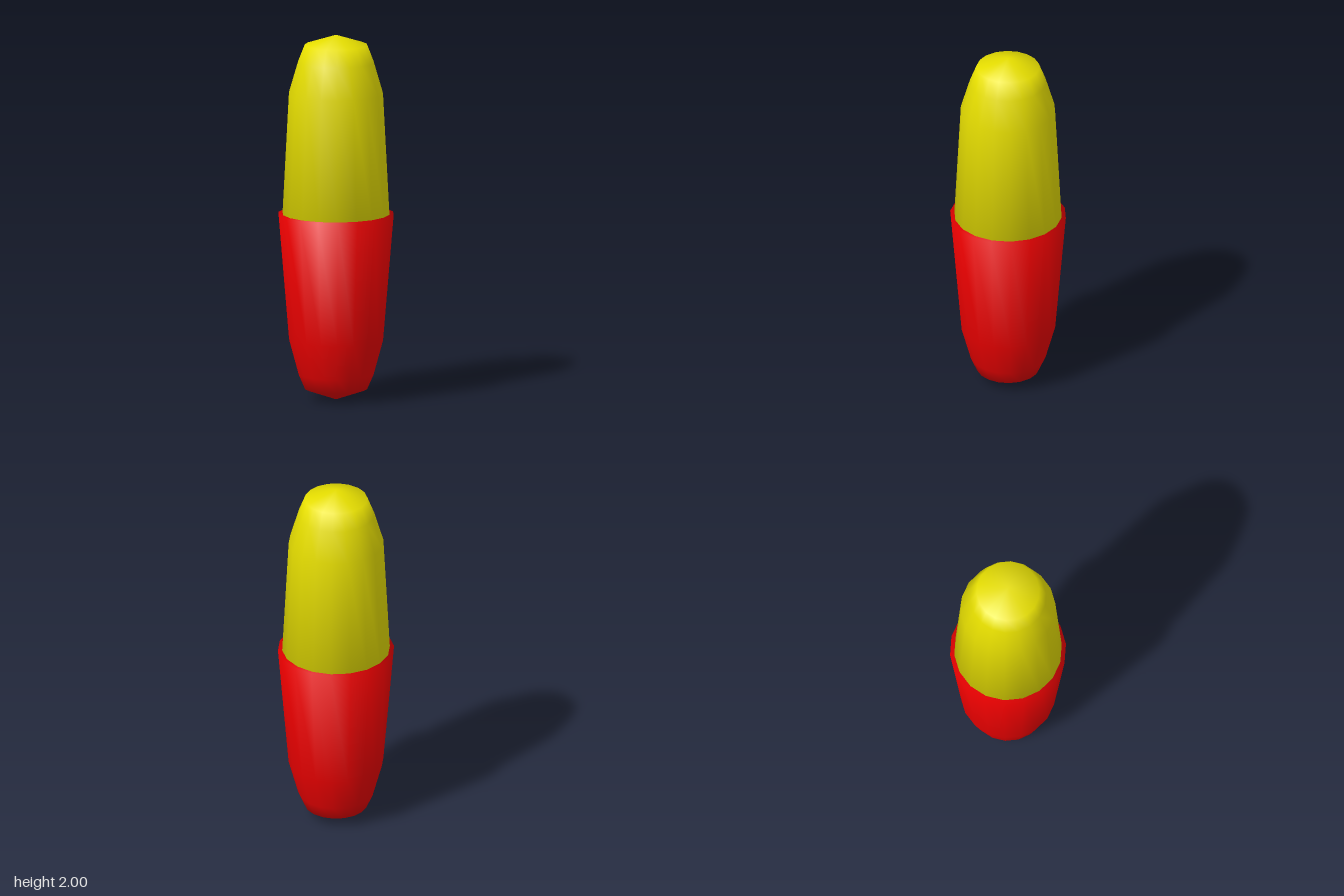
import * as THREE from 'three';

const SIDES = 18;

// Smooth 18-sided closed solid turned from [radius, height] points, bottom to top
function turned(name, color, points) {
  const profile = points.map(([r, y]) => new THREE.Vector2(r, y));
  const geometry = new THREE.LatheGeometry(profile, SIDES);

  // Round off the shading at both poles
  const { position, normal } = geometry.attributes;
  for (let i = 0; i < position.count; i++) {
    if (Math.hypot(position.getX(i), position.getZ(i)) < 1e-4) {
      normal.setXYZ(i, 0, Math.sign(normal.getY(i)), 0);
    }
  }

  const mesh = new THREE.Mesh(geometry, new THREE.MeshStandardMaterial({ color }));
  mesh.name = name;
  return mesh;
}

export function createModel() {
  const model = new THREE.Group();
  model.name = 'capsule';

  // Lower half: rounded end, flaring wall and flat closed top
  model.add(turned('lowerHalf', 0xe60000, [
    [0, 0], [0.17, 0.06], [0.205, 0.14], [0.257, 0.33], [0.315, 1.02], [0, 1.02],
  ]));

  // Upper half: slightly narrower, flat base set into the lower half
  model.add(turned('upperHalf', 0xe6de00, [
    [0, 1], [0.293, 1], [0.257, 1.68], [0.207, 1.85], [0.17, 1.945], [0, 2],
  ]));

  return model;
}
